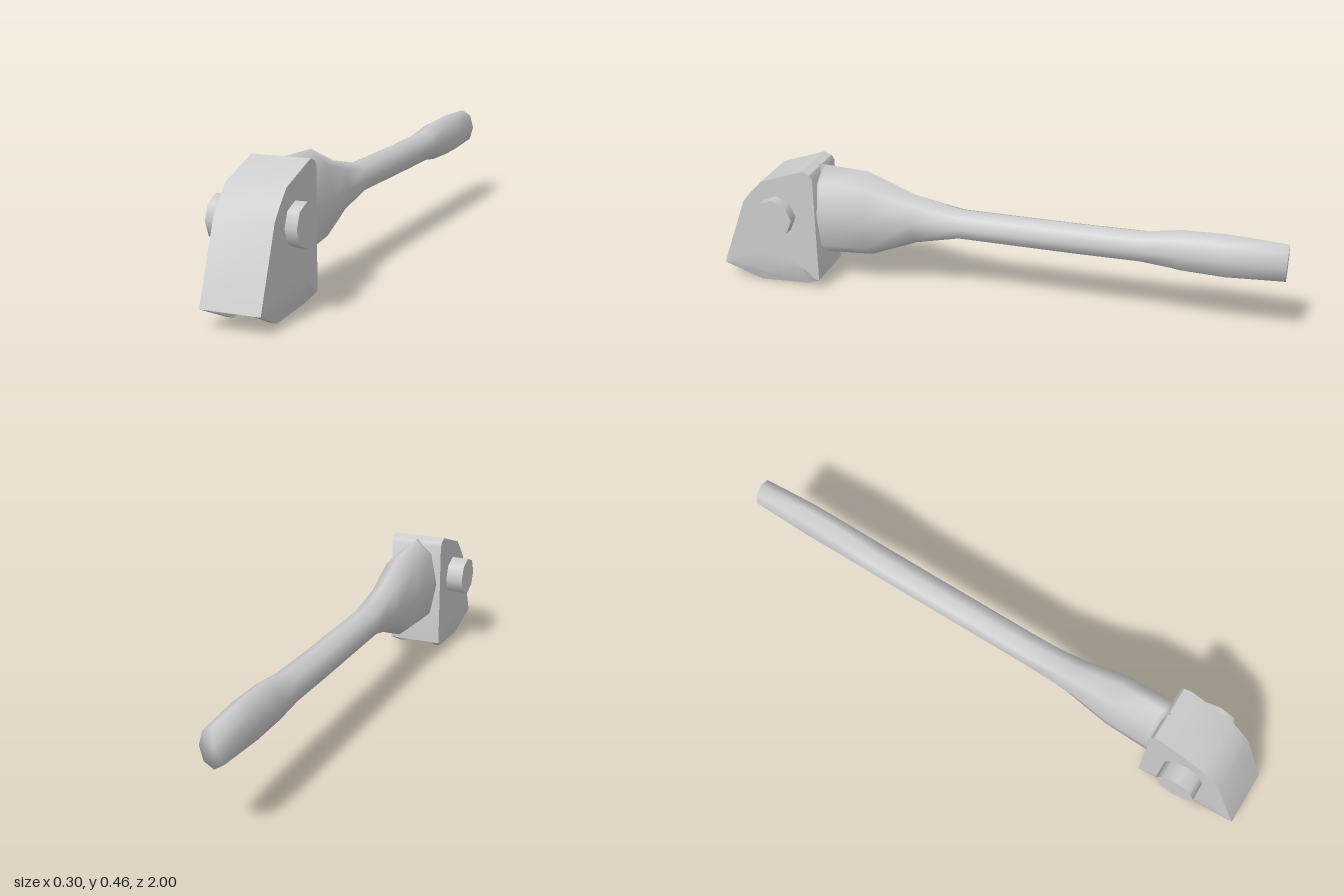
import * as THREE from 'three';
import { toCreasedNormals } from 'three/addons/utils/BufferGeometryUtils.js';

const CX = 0.011; // the head sits slightly off centre
const HALF = 0.0995;
const WALL = 0.024;

// Extrudes a [z, y] profile across x, from x0 to x1
function extrudeAcross(profile, x0, x1) {
  const shape = new THREE.Shape(profile.map(([z, y]) => new THREE.Vector2(z, y)));
  const geo = new THREE.ExtrudeGeometry(shape, { depth: x1 - x0, bevelEnabled: false });
  return geo.rotateY(-Math.PI / 2).translate(x1, 0, 0);
}

// Lofts ellipses [z, bottom, top, halfWidth, centreX], front to back, into a closed smooth skin
function loftAlongZ(sections, sides) {
  const pos = [], index = [];
  const last = sections.length - 1;
  for (const [z, y0, y1, w, cx] of sections) {
    for (let i = 0; i < sides; i++) {
      const a = (i / sides) * Math.PI * 2;
      pos.push(cx + w * Math.sin(a), (y0 + y1) / 2 + ((y1 - y0) / 2) * Math.cos(a), z);
    }
  }
  for (let s = 0; s < last; s++) {
    for (let i = 0; i < sides; i++) {
      const j = (i + 1) % sides;
      const a = s * sides + i, b = s * sides + j, c = a + sides, d = b + sides;
      index.push(a, b, c, b, d, c);
    }
  }
  // end caps
  for (const s of [0, last]) {
    const [z, y0, y1, , cx] = sections[s];
    const centre = pos.length / 3;
    pos.push(cx, (y0 + y1) / 2, z);
    for (let i = 0; i < sides; i++) {
      const a = s * sides + i, b = s * sides + ((i + 1) % sides);
      if (s === 0) index.push(centre, b, a);
      else index.push(centre, a, b);
    }
  }
  const geo = new THREE.BufferGeometry();
  geo.setAttribute('position', new THREE.Float32BufferAttribute(pos, 3));
  geo.setIndex(index);
  geo.computeVertexNormals();
  return geo;
}

export function createModel() {
  const model = new THREE.Group();
  const material = new THREE.MeshStandardMaterial({ color: 0xcccccc });
  const add = (name, geo, parent = model) => {
    const mesh = new THREE.Mesh(geo, material);
    mesh.name = name;
    parent.add(mesh);
  };

  // Head: full-width body arched underneath, with thin cheeks closing the sides of the arch
  const head = new THREE.Group();
  head.name = 'head';
  model.add(head);
  const upper = [[1, 0.06], [0.905, 0.315], [0.875, 0.352], [0.83, 0.4], [0.67, 0.457], [0.642, 0.447], [0.632, 0.43], [0.63, 0.038]];
  const hollow = [[0.645, 0.04], [0.69, 0.08], [0.75, 0.11], [0.83, 0.12], [0.92, 0.1], [0.98, 0.062]];
  const body = extrudeAcross([...upper, ...hollow], CX - HALF, CX + HALF);
  add('headBody', toCreasedNormals(body, 0.6), head);

  for (const [name, side, taper] of [['leftCheek', 1, 0.02], ['rightCheek', -1, 0.012]]) {
    const inner = CX + side * (HALF - WALL), outer = CX + side * HALF;
    const cheek = extrudeAcross([...hollow, [1, 0.06], [0.865, 0], [0.68, 0.01], [0.63, 0.038]],
      Math.min(inner, outer), Math.max(inner, outer));
    // the lower edge leans inwards
    const p = cheek.attributes.position;
    for (let i = 0; i < p.count; i++) {
      if (p.getY(i) < 0.03) p.setX(i, p.getX(i) - side * taper);
    }
    add(name, toCreasedNormals(cheek, 0.4), head);
  }

  // Pivot pin through the head
  const pin = new THREE.CylinderGeometry(0.071, 0.071, 0.302, 8).rotateZ(Math.PI / 2);
  add('pivotPin', pin.translate(-0.001, 0.28, 0.776));

  // Handle: deep flare at the head, slim shaft, swollen grip
  add('handle', loftAlongZ([
    [0.65, 0.108, 0.45, 0.084, 0.01],
    [0.62, 0.109, 0.451, 0.084, 0.01],
    [0.46, 0.121, 0.444, 0.08, 0.01],
    [0.29, 0.191, 0.377, 0.06, 0.009],
    [0.12, 0.232, 0.34, 0.055, 0.008],
    [-0.3, 0.233, 0.342, 0.055, 0.008],
    [-0.52, 0.236, 0.346, 0.055, 0.008],
    [-0.65, 0.219, 0.369, 0.055, 0.008],
    [-0.8, 0.215, 0.374, 0.054, 0.008],
    [-1, 0.227, 0.364, 0.046, 0.006],
  ], 8));

  return model;
}
